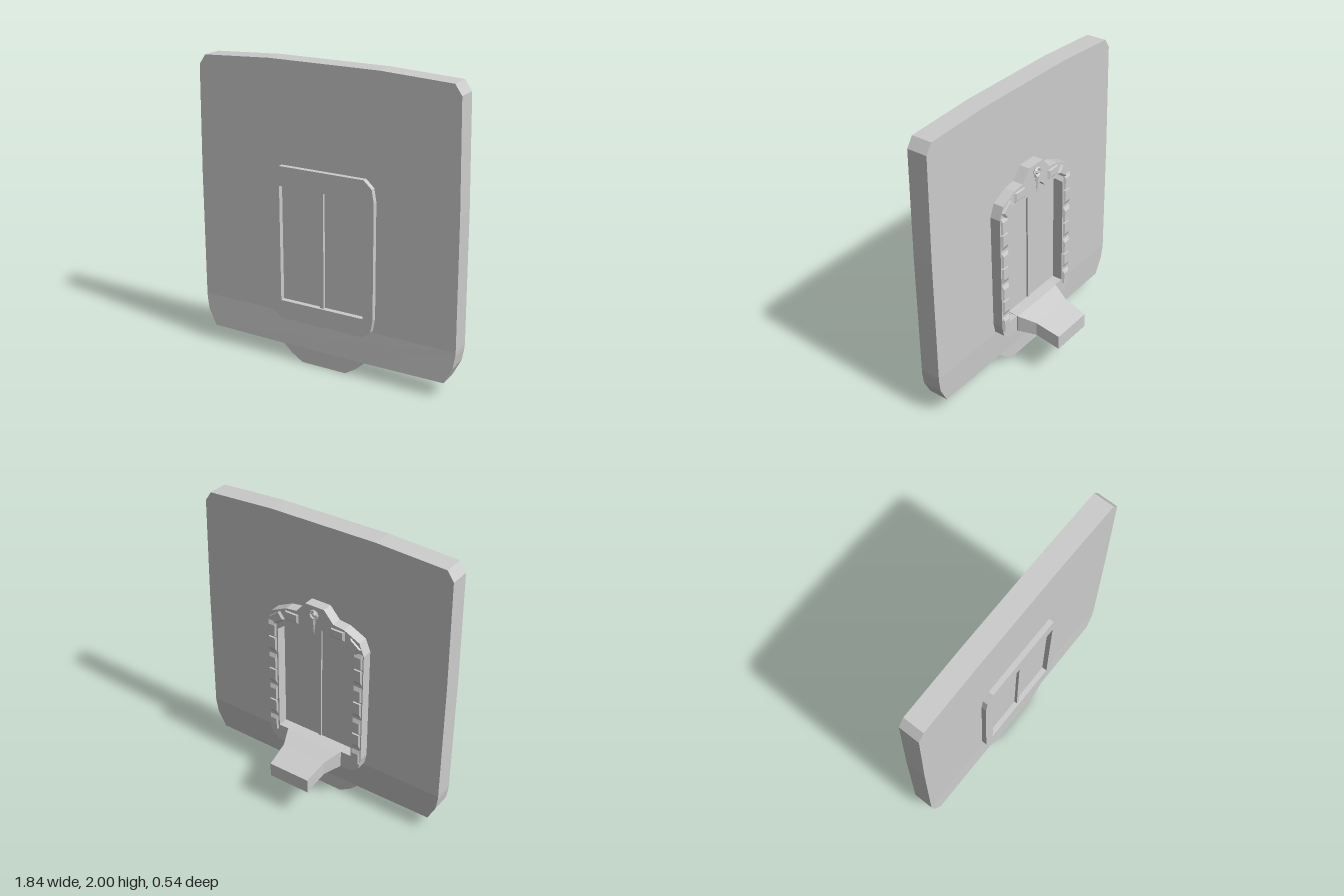
import * as THREE from 'three';

const material = new THREE.MeshStandardMaterial({ color: 0xcccccc, flatShading: true });

// Mirror a right-hand outline (bottom to top) into a closed symmetric one
const mirrored = (half) => [
  ...half,
  ...half.slice().reverse().map(([x, y]) => [-x, y]),
].map(([x, y]) => new THREE.Vector2(x, y));

function add(parent, name, geometry) {
  const mesh = new THREE.Mesh(geometry, material);
  mesh.name = name;
  parent.add(mesh);
  return mesh;
}

// Extrude an outline, with an optional opening, between two depths
function slab(outline, z0, z1, opening) {
  const shape = new THREE.Shape(mirrored(outline));
  if (opening) shape.holes.push(new THREE.Path(mirrored(opening)));
  const geometry = new THREE.ExtrudeGeometry(shape, { depth: z1 - z0, bevelEnabled: false });
  return geometry.translate(0, 0, z0);
}

// Box with its -z face shrunk and pushed upward, for chipped stones
function chippedBlock(w, h, d, taper, lift) {
  const geometry = new THREE.BoxGeometry(w, h, d);
  const p = geometry.attributes.position;
  for (let i = 0; i < p.count; i++) {
    if (p.getZ(i) < 0) p.setXY(i, p.getX(i) * taper, p.getY(i) * taper + lift);
  }
  geometry.computeVertexNormals();
  return geometry;
}

export function createModel() {
  const group = new THREE.Group();
  group.name = 'wallWithDoorway';

  // Wall: upright upper part, and a foot that leans slightly forward
  add(group, 'wallPanel', slab([
    [0.92, 0.33], [0.915, 1.2], [0.9, 1.91], [0.855, 1.975], [0.38, 2],
  ], 0.095, 0.235));
  const foot = slab([
    [0.16, 0], [0.24, 0.05], [0.3, 0.105], [0.85, 0.11], [0.905, 0.22], [0.918, 0.3], [0.92, 0.33],
  ], 0.095, 0.235);
  const p = foot.attributes.position;
  for (let i = 0; i < p.count; i++) {
    p.setZ(i, p.getZ(i) + 0.009 * Math.min(1, (0.33 - p.getY(i)) / 0.22));
  }
  foot.computeVertexNormals();
  add(group, 'wallFoot', foot);

  // Front frame with a rectangular opening and the seam between the door leaves
  add(group, 'frontFrame', slab([
    [0.3, 0.3], [0.355, 0.345], [0.37, 0.43], [0.37, 1.2], [0.355, 1.285], [0.3, 1.335],
  ], 0.23, 0.27, [[0.3, 0.425], [0.3, 1.205]]));
  add(group, 'frontDoorSeam', new THREE.BoxGeometry(0.025, 0.78, 0.02)).position.set(-0.003, 0.815, 0.245);

  // Rear frame with a peaked top
  add(group, 'rearFrame', slab([
    [0.3, 0.3], [0.355, 0.345], [0.37, 0.42], [0.37, 1.24], [0.335, 1.325], [0.22, 1.38], [0.14, 1.39], [0.07, 1.47],
  ], 0.022, 0.1, [
    [0.29, 0.42], [0.29, 1.2], [0.2, 1.27], [0.1, 1.27], [0.05, 1.32],
  ]));
  add(group, 'rearDoorSeam', new THREE.BoxGeometry(0.02, 0.88, 0.014)).position.set(0, 0.86, 0.09);

  // Chipped stones along the rear jambs and arch
  for (const side of [-1, 1]) {
    for (let i = 0; i < 7; i++) {
      const stone = add(group, 'jambStone', chippedBlock(0.066, 0.115, 0.014, 0.72, i % 2 ? 0.015 : -0.015));
      stone.position.set(side * 0.331, 0.44 + i * 0.126, 0.017);
    }
    [[0.29, 1.285, -0.65], [0.175, 1.33, 0]].forEach(([x, y, turn]) => {
      const stone = add(group, 'archStone', chippedBlock(0.11, 0.07, 0.014, 0.72, 0.006));
      stone.position.set(side * x, y, 0.017);
      stone.rotation.z = side * turn;
    });
  }

  // Ring ornament with a hanging spike at the peak
  add(group, 'peakRing', new THREE.TorusGeometry(0.028, 0.009, 4, 8)).position.set(0, 1.415, 0.015);
  add(group, 'peakStud', new THREE.SphereGeometry(0.014, 6, 4)).position.set(0, 1.415, 0.017);
  const spike = add(group, 'hangingSpike', new THREE.ConeGeometry(0.013, 0.13, 4));
  spike.rotation.x = Math.PI;
  spike.position.set(0, 1.32, 0.017);

  // Rear ramp lofted through sections: z, half width, bottom, top
  const sections = [
    [0.09, 0.215, 0.3, 0.425], [0.015, 0.215, 0.3, 0.42],
    [-0.1, 0.165, 0.288, 0.385], [-0.27, 0.15, 0.24, 0.34],
  ];
  const points = sections.flatMap(([z, w, b, t]) => [-w, b, z, w, b, z, w, t, z, -w, t, z]);
  const index = [0, 1, 2, 0, 2, 3];
  for (let s = 0; s < sections.length - 1; s++) {
    for (let k = 0; k < 4; k++) {
      const a = s * 4 + k, b = s * 4 + (k + 1) % 4;
      index.push(a, a + 4, b, b, a + 4, b + 4);
    }
  }
  const e = (sections.length - 1) * 4;
  index.push(e, e + 2, e + 1, e, e + 3, e + 2);
  const ramp = new THREE.BufferGeometry();
  ramp.setAttribute('position', new THREE.Float32BufferAttribute(points, 3));
  ramp.setIndex(index);
  const flatRamp = ramp.toNonIndexed();
  flatRamp.computeVertexNormals();
  add(group, 'rearRamp', flatRamp);

  return group;
}
